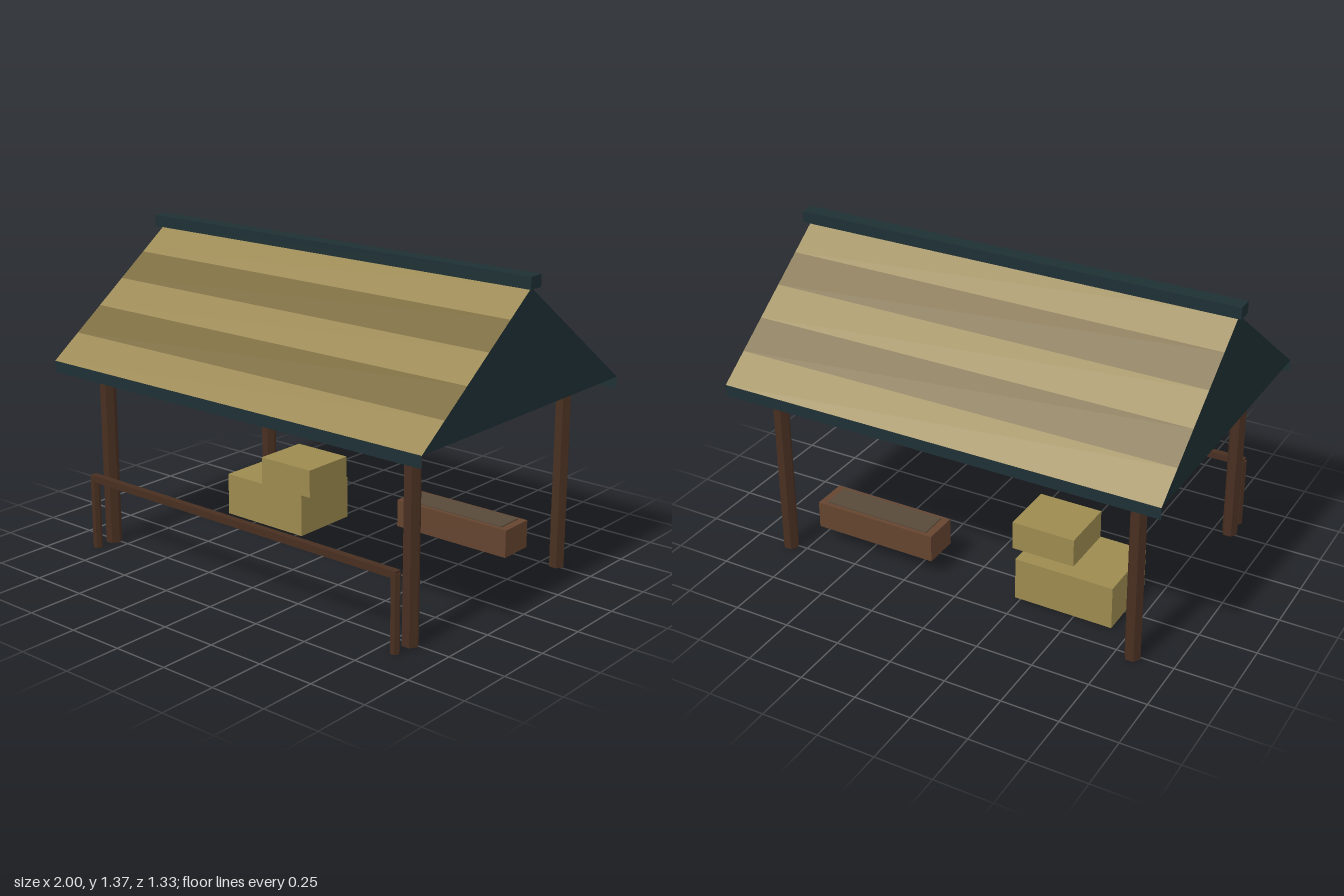
import * as THREE from 'three';

const mat = (color, side = THREE.FrontSide) =>
  new THREE.MeshStandardMaterial({ color, side, flatShading: true });

const STRAW = mat(0x9c8a4e);
const THATCH = [mat(0x9a8852, THREE.DoubleSide), mat(0x7b6a3c, THREE.DoubleSide)];
const TEAL = mat(0x1e3034);
const TEAL_THIN = mat(0x1e3034, THREE.DoubleSide);
const DARK_WOOD = mat(0x482f21);
const WOOD = mat(0x64442f);
const FEED = mat(0x584a3a);

// Roof dimensions
const HALF_X = 0.98, HALF_Z = 0.665, EAVE = 0.83, RIDGE = 1.32;

export function createModel() {
  const model = new THREE.Group();
  model.name = 'stableShelter';

  const add = (name, geometry, material, x, y, z) => {
    const mesh = new THREE.Mesh(geometry, material);
    mesh.name = name;
    mesh.position.set(x, y, z);
    model.add(mesh);
    return mesh;
  };

  // Box given by its lower and upper bounds on each axis
  const addBox = (name, material, [x0, x1], [y0, y1], [z0, z1]) =>
    add(name, new THREE.BoxGeometry(x1 - x0, y1 - y0, z1 - z0), material,
      (x0 + x1) / 2, (y0 + y1) / 2, (z0 + z1) / 2);

  // Upright six-sided pole with a corner pointing sideways
  const addPole = (name, radius, height, x, z) =>
    add(name, new THREE.CylinderGeometry(radius, radius, height, 6).rotateY(Math.PI / 6),
      DARK_WOOD, x, height / 2, z);

  // Four corner posts and the ceiling slab they carry
  for (const x of [-0.825, 0.825]) {
    for (const z of [-0.51, 0.51]) addPole('cornerPost', 0.035, 0.8, x, z);
    addPole('railPost', 0.02, 0.325, x, 0.605);
  }
  addBox('hitchingRail', DARK_WOOD, [-0.835, 0.835], [0.305, 0.335], [0.59, 0.62]);
  addBox('ceilingSlab', WOOD, [-0.87, 0.87], [0.79, EAVE], [-0.555, 0.555]);

  // Triangular gable ends
  const gable = new THREE.Shape([
    new THREE.Vector2(-HALF_Z, EAVE),
    new THREE.Vector2(HALF_Z, EAVE),
    new THREE.Vector2(0, RIDGE),
  ]);
  for (const side of [-1, 1]) {
    add('gable', new THREE.ShapeGeometry(gable).rotateY(side * Math.PI / 2),
      TEAL, side * HALF_X, 0, 0);
  }

  // Underside of the roof
  add('roofUnderside', new THREE.PlaneGeometry(2 * HALF_X, 2 * HALF_Z).rotateX(Math.PI / 2),
    TEAL, 0, EAVE, 0);

  // Striped slopes and hanging eave boards, front and back
  const ROWS = 5;
  const rise = RIDGE - EAVE;
  const rowLength = Math.hypot(rise, HALF_Z) / ROWS;
  const pitch = Math.atan2(HALF_Z, rise);
  for (const side of [-1, 1]) {
    for (let i = 0; i < ROWS; i++) {
      const t = (i + 0.5) / ROWS;
      const strip = new THREE.PlaneGeometry(2 * HALF_X, rowLength).rotateX(-pitch);
      if (side < 0) strip.rotateY(Math.PI);
      add('thatchStrip', strip, THATCH[i % 2], 0, EAVE + rise * t, side * HALF_Z * (1 - t));
    }
    add('eaveBoard', new THREE.PlaneGeometry(2 * HALF_X, 0.05), TEAL_THIN,
      0, EAVE - 0.025, side * HALF_Z);
  }
  addBox('ridgeCap', TEAL, [-1, 1], [RIDGE, 1.37], [-0.034, 0.034]);

  // Stacked straw bales
  addBox('lowerBale', STRAW, [-0.67, -0.225], [0, 0.193], [-0.382, -0.062]);
  addBox('upperBale', STRAW, [-0.46, -0.175], [0.193, 0.32], [-0.316, -0.062]);

  // Feed trough
  addBox('trough', WOOD, [0.155, 0.725], [0.083, 0.205], [-0.427, -0.267]);
  addBox('troughFeed', FEED, [0.19, 0.69], [0.2, 0.21], [-0.409, -0.285]);

  return model;
}
